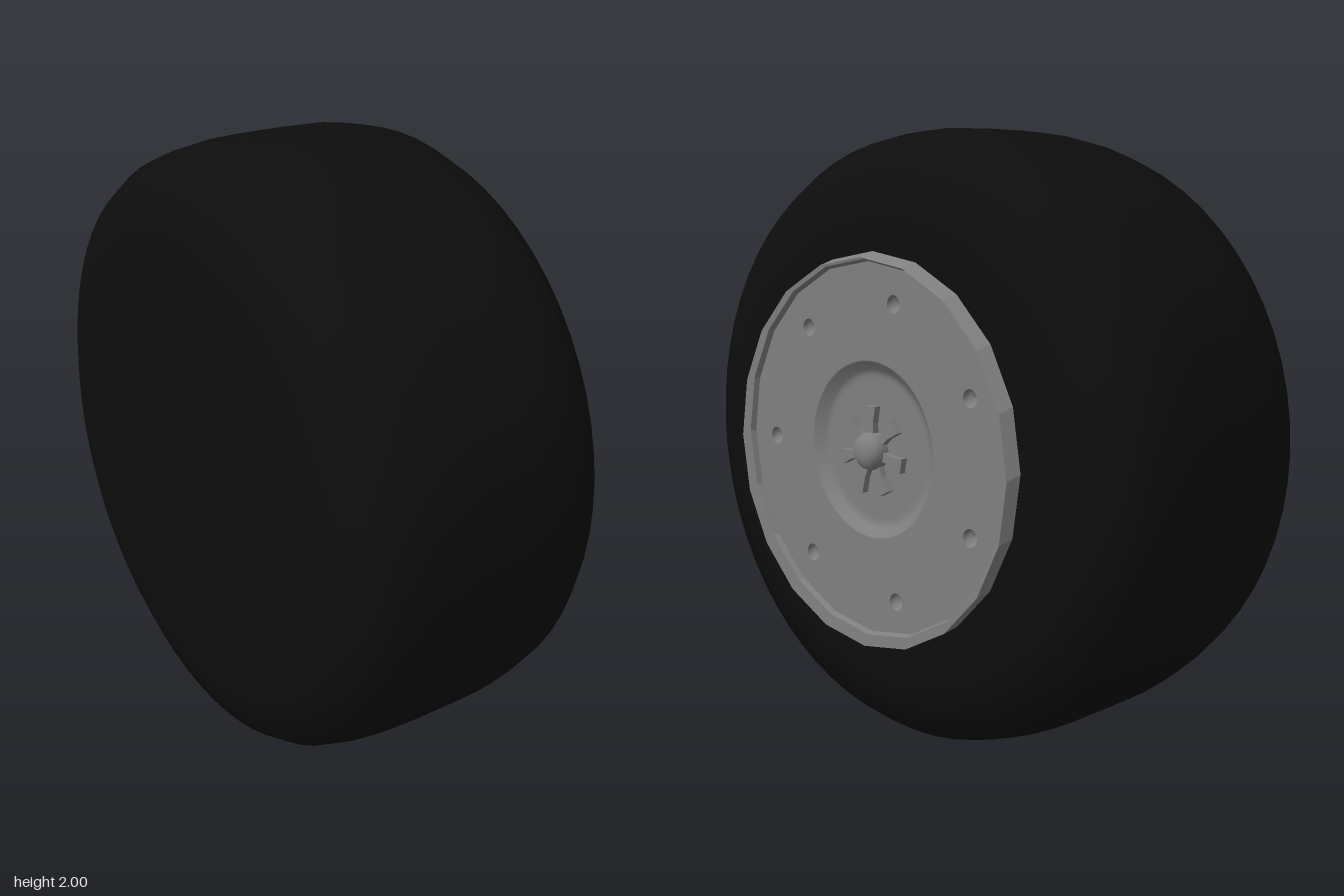
import * as THREE from 'three';

const V = (pts) => pts.map(([x, y]) => new THREE.Vector2(x, y));

// Faceted skin through rings [radius, z, centreX, centreY] along z
function loftRings(rings, sides) {
  const pos = [];
  const point = ([r, z, cx, cy], k) => {
    const a = (k / sides) * Math.PI * 2;
    return [cx + r * Math.cos(a), cy + r * Math.sin(a), z];
  };
  for (let i = 0; i < rings.length - 1; i++) {
    for (let k = 0; k < sides; k++) {
      const a = point(rings[i], k), b = point(rings[i], k + 1);
      const c = point(rings[i + 1], k + 1), d = point(rings[i + 1], k);
      pos.push(...a, ...b, ...c, ...a, ...c, ...d);
    }
  }
  const g = new THREE.BufferGeometry();
  g.setAttribute('position', new THREE.Float32BufferAttribute(pos, 3));
  g.computeVertexNormals();
  return g;
}

export function createModel() {
  const model = new THREE.Group();
  const rubber = new THREE.MeshStandardMaterial({ color: 0x0d0d0d });
  rubber.name = 'black rubber';
  const metal = new THREE.MeshStandardMaterial({ color: 0x7f7f7f });
  metal.name = 'grey metal';

  const add = (parent, geometry, material, name) => {
    const mesh = new THREE.Mesh(geometry, material);
    mesh.name = name;
    parent.add(mesh);
    return mesh;
  };
  // Lathe whose axis points along z
  const lathe = (pts, n) => new THREE.LatheGeometry(V(pts), n).rotateX(Math.PI / 2);

  // Everything is built facing +z, then turned to face +x
  const wheel = new THREE.Group();
  wheel.name = 'wheel';
  wheel.rotation.y = Math.PI / 2;
  wheel.position.y = 1;
  model.add(wheel);

  // Tyre: closed, rounded drum
  add(wheel, lathe([
    [0, -0.51], [0.4, -0.51], [0.66, -0.51], [0.76, -0.505], [0.83, -0.495], [0.92, -0.455],
    [0.965, -0.39], [0.985, -0.31], [0.997, -0.22], [1, -0.12], [1, 0.04], [0.997, 0.14],
    [0.985, 0.22], [0.965, 0.3], [0.92, 0.365], [0.83, 0.405], [0.76, 0.415], [0.66, 0.42],
    [0.4, 0.42], [0, 0.42],
  ], 64), rubber, 'tyre');

  // Rim: stepped back, slightly off-centre front lip, recessed inside
  add(wheel, loftRings([
    [0.555, 0.415, 0, 0], [0.565, 0.43, 0, 0], [0.585, 0.436, 0, 0], [0.615, 0.462, 0, 0],
    [0.615, 0.5, -0.018, -0.018], [0.592, 0.498, 0, 0], [0.585, 0.48, 0, 0],
  ], 20), metal, 'rim');

  // Face plate with bolt holes and a central opening
  const face = new THREE.Shape();
  for (let k = 0; k < 20; k++) {
    const a = (k / 20) * Math.PI * 2;
    const x = 0.586 * Math.cos(a), y = 0.586 * Math.sin(a);
    k ? face.lineTo(x, y) : face.moveTo(x, y);
  }
  const cutHole = (x, y, r) => {
    const hole = new THREE.Path();
    hole.absarc(x, y, r, 0, Math.PI * 2, true);
    face.holes.push(hole);
  };
  cutHole(0, 0, 0.28);
  const boltHole = lathe([[0.029, 0], [0.027, -0.01], [0.02, -0.022], [0, -0.028]], 16);
  for (let k = 0; k < 7; k++) {
    const a = Math.PI + (k / 7) * Math.PI * 2;
    const x = 0.005 + 0.475 * Math.cos(a), y = -0.005 + 0.475 * Math.sin(a);
    cutHole(x, y, 0.028);
    add(wheel, boltHole, metal, 'boltHole').position.set(x, y, 0.48);
  }
  add(wheel, new THREE.ShapeGeometry(face, 32).translate(0, 0, 0.48), metal, 'facePlate');

  // Sunken dish in the middle
  add(wheel, lathe([
    [0.282, 0.48], [0.275, 0.478], [0.25, 0.455], [0.235, 0.451], [0.22, 0.45], [0, 0.45],
  ], 48), metal, 'centreDish');

  // Centre cap with seven flared spokes
  const cap = new THREE.Group();
  cap.name = 'centreCap';
  cap.position.set(-0.01, -0.006, 0.45);
  wheel.add(cap);
  add(cap, lathe([
    [0.06, 0], [0.06, 0.025], [0.054, 0.042], [0.04, 0.054], [0.02, 0.06], [0, 0.061],
  ], 24), metal, 'capDome');
  const spoke = new THREE.Shape(V([
    [-0.015, 0.04], [0.015, 0.04], [0.013, 0.09], [0.024, 0.142], [-0.024, 0.142], [-0.013, 0.09],
  ]));
  const spokeGeometry = new THREE.ExtrudeGeometry(spoke, { depth: 0.022, bevelEnabled: false });
  for (let k = 0; k < 7; k++) {
    add(cap, spokeGeometry, metal, 'capSpoke').rotation.z = (k / 7) * Math.PI * 2;
  }

  return model;
}
